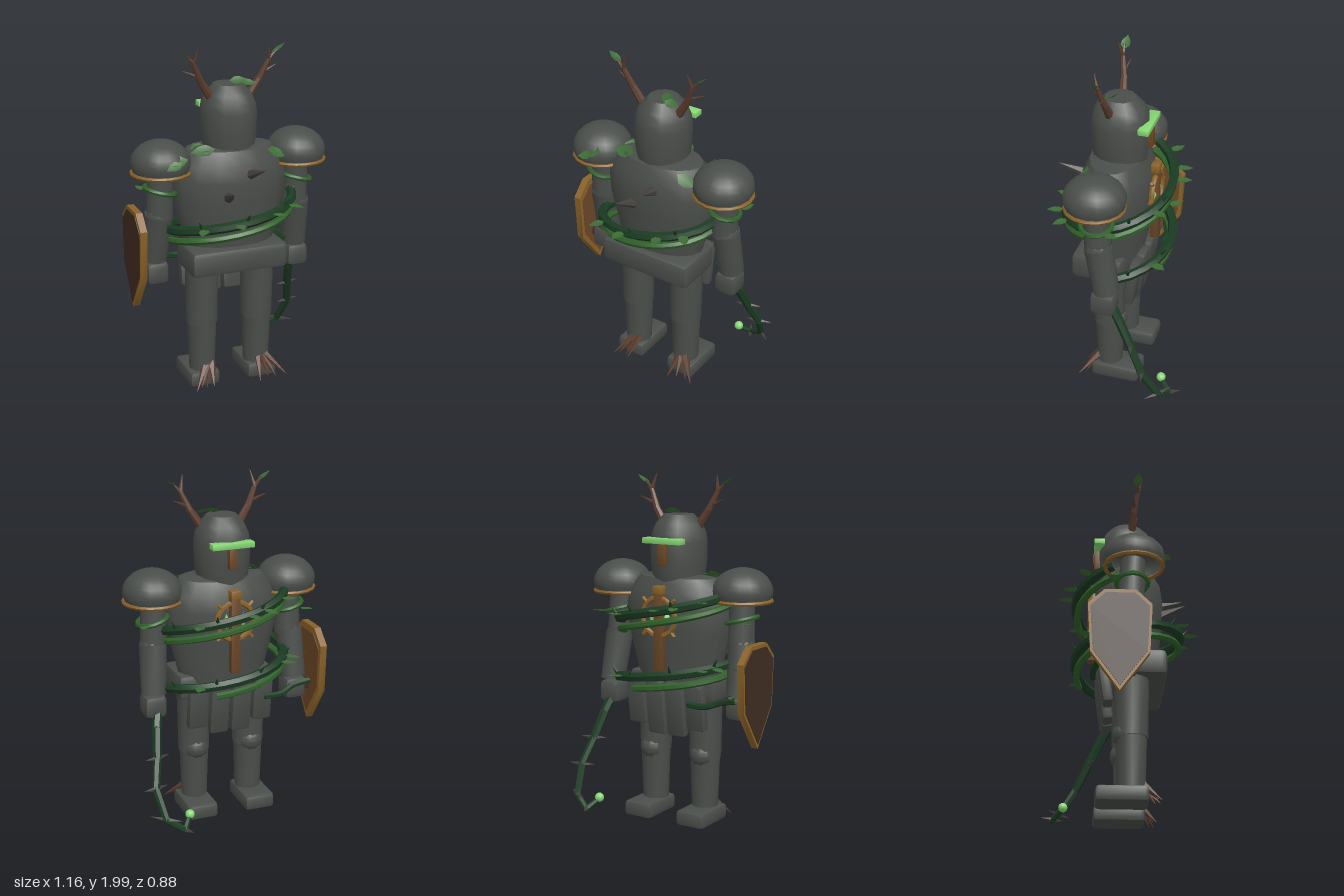
import * as THREE from 'three';
import { toCreasedNormals } from 'three/addons/utils/BufferGeometryUtils.js';
import { RoundedBoxGeometry } from 'three/addons/geometries/RoundedBoxGeometry.js';

const material = (name, color, side = THREE.FrontSide) => {
  const m = new THREE.MeshStandardMaterial({ color, side });
  m.name = name;
  return m;
};
const V = (x, y, z) => new THREE.Vector3(x, y, z);

export function createModel() {
  const armor = material('dark armour', 0x4a4e4a, THREE.DoubleSide);
  const gold = material('old gold', 0x8a6229);
  const bronze = material('bronze', 0x6b4726);
  const bark = material('bark', 0x5a3c2e);
  const wood = material('shield wood', 0x3f2c22);
  const vine = material('dark vine', 0x1b3b22);
  const shoot = material('young vine', 0x2f6029);
  const leafGreen = material('leaf', 0x3c6c34, THREE.DoubleSide);
  const glow = material('glow green', 0x86d873);
  const thorn = material('thorn', 0x47423e);

  const model = new THREE.Group();
  const add = (name, geo, mat, pos = [0, 0, 0], parent = model) => {
    const mesh = new THREE.Mesh(toCreasedNormals(geo, 0.65), mat);
    mesh.name = name;
    mesh.position.set(...pos);
    parent.add(mesh);
    return mesh;
  };
  const box = (name, size, pos, mat, bevel = 0.015) =>
    add(name, new RoundedBoxGeometry(...size, 1, bevel), mat, pos);
  // Tapered round bar from a to b
  const bar = (name, a, b, ra, rb, mat, sides = 12) => {
    const d = b.clone().sub(a);
    const mesh = add(name, new THREE.CylinderGeometry(rb, ra, d.length(), sides), mat);
    mesh.position.copy(a).addScaledVector(d, 0.5);
    mesh.quaternion.setFromUnitVectors(V(0, 1, 0), d.normalize());
    return mesh;
  };
  const lathe = (name, profile, sides, mat, pos, depth) => {
    const mesh = add(name, new THREE.LatheGeometry(profile.map(p => new THREE.Vector2(...p)), sides), mat, pos);
    mesh.scale.z = depth;
    return mesh;
  };
  const tube = (name, pts, r, mat, steps) =>
    add(name, new THREE.TubeGeometry(new THREE.CatmullRomCurve3(pts), steps, r, 6), mat);
  // Folded leaf growing from p along d, its face turned towards up
  const leafGeo = new THREE.BufferGeometry();
  leafGeo.setAttribute('position', new THREE.Float32BufferAttribute(
    [0, 0, 0, 0.28, 0.3, 0, 0.26, 0.6, 0, 0, 1, 0, -0.26, 0.6, 0, -0.28, 0.3, 0, 0, 0.45, -0.08], 3));
  leafGeo.setIndex([0, 1, 6, 1, 2, 6, 2, 3, 6, 3, 4, 6, 4, 5, 6, 5, 0, 6]);
  leafGeo.computeVertexNormals();
  const leaf = (p, d, length, up = V(0, 1, 0)) => {
    const mesh = add('leaf', leafGeo, leafGreen);
    const y = d.clone().normalize(), x = y.clone().cross(up).normalize();
    mesh.quaternion.setFromRotationMatrix(new THREE.Matrix4().makeBasis(x, y, x.clone().cross(y)));
    mesh.position.copy(p);
    mesh.scale.setScalar(length);
  };

  // Torso, collar and helmet
  lathe('torso', [[0, 0.8], [0.25, 0.8], [0.265, 0.88], [0.325, 1.12], [0.335, 1.25], [0.315, 1.34], [0.25, 1.42], [0.17, 1.435], [0, 1.435]],
    16, armor, [0, 0, 0.055], 0.6);
  lathe('helmet', [[0.145, 1.4], [0.158, 1.5], [0.16, 1.62], [0.152, 1.67], [0.13, 1.72], [0.085, 1.77], [0, 1.775]],
    12, armor, [0, 0, 0.045], 1.04);
  box('visor glow', [0.245, 0.032, 0.06], [0, 1.63, -0.117], glow, 0.002);
  box('nose guard', [0.05, 0.13, 0.04], [0, 1.56, -0.125], bronze, 0.006);

  // Waist plate and hanging tassets
  box('waist plate', [0.575, 0.15, 0.3], [0, 0.795, 0.105], armor, 0.03);
  for (const x of [-0.195, -0.065, 0.065, 0.195]) {
    const long = Math.abs(x) < 0.1;
    const tasset = box('tasset', [0.118, long ? 0.32 : 0.27, 0.06], [x, long ? 0.675 : 0.7, -0.085], armor, 0.018);
    tasset.rotation.x = -0.14;
  }

  for (const s of [-1, 1]) {
    // Legs
    const x = s * 0.17;
    bar('thigh', V(x, 0.38, 0.062), V(x, 0.76, 0.062), 0.091, 0.098, armor);
    bar('shin', V(x, 0.06, 0.06), V(x, 0.39, 0.06), 0.075, 0.086, armor);
    add('knee', new THREE.SphereGeometry(0.075, 10, 8), armor, [x, 0.4, 0.03]);
    box('foot', [0.182, 0.09, 0.285], [s * 0.178, 0.048, 0.008], armor, 0.022);
    for (let i = 0; i < 4; i++) {
      const out = s < 0 ? -0.255 + i * 0.035 : 0.14 + i * 0.055;
      bar('foot root', V(s * 0.165 + i * 0.012, 0.135, 0.11), V(out, 0.012 + (i % 2) * 0.015, 0.215 - (i % 3) * 0.015), 0.025, 0.002, bark, 5);
    }

    // Arms
    bar('upper arm', V(s * 0.405, 1.34, 0.06), V(s * 0.41, 1.04, 0.045), 0.07, 0.076, armor);
    add('elbow', new THREE.SphereGeometry(0.078, 10, 8), armor, [s * 0.415, 1.05, 0.045]);
    bar('forearm', V(s * 0.415, 1.06, 0.045), V(s * 0.43, 0.78, -0.005), 0.08, 0.073, armor);
    box('hand', [0.13, 0.13, 0.14], [s * 0.43, 0.712, 0.008], armor, 0.028);

    // Shoulder dome with gold rim
    const dome = add('shoulder dome', new THREE.SphereGeometry(0.168, 16, 10, 0, Math.PI * 2, 0, Math.PI * 0.62), armor, [s * 0.405, 1.36, 0.065]);
    dome.scale.set(1, 0.78, 1.04);
    add('shoulder rim', new THREE.TorusGeometry(0.162, 0.012, 6, 16), gold, [s * 0.405, 1.308, 0.065]).rotation.x = Math.PI / 2;

    // Thin vine round each arm
    const ring = add('arm vine', new THREE.TorusGeometry(0.088, 0.014, 6, 14), shoot, [s * 0.41, 1.2, 0.055]);
    ring.rotation.set(Math.PI / 2, -0.25, 0);
    leaf(V(s * 0.47, 1.19, -0.01), V(s * 0.5, 0.1, -1), 0.09);

    // Branching antlers
    const fork = V(s * 0.22, 1.9, 0.1);
    bar('antler', V(s * 0.11, 1.7, 0.07), V(s * 0.175, 1.8, 0.08), 0.026, 0.02, bark, 7);
    bar('antler', V(s * 0.17, 1.79, 0.08), fork, 0.02, 0.014, bark, 7);
    bar('antler tine', fork, V(s * 0.2, 1.99, 0.125), 0.013, 0.002, bark, 5);
    bar('antler tine', fork, V(s * 0.265, 1.95, 0.105), 0.012, 0.005, bark, 5);
    bar('antler tine', V(s * 0.185, 1.82, 0.085), V(s * 0.275, 1.86, 0.07), 0.012, 0.002, bark, 5);
    leaf(V(s * 0.235, 1.93, 0.1), V(s * 0.075, 0.05, 0), 0.095, V(-s * 0.5, 0.75, 0));
  }

  // Vines winding up round the body
  const coil = (a, r, lift) =>
    V(Math.cos(a) * 0.37 * r, 0.8 + a * 0.0535 + Math.max(0, a - 6.3) * 0.018 + lift, 0.05 - Math.sin(a) * 0.3 * r);
  const coilPoints = (from, to, r, lift) =>
    Array.from({ length: 33 }, (_, i) => coil(from + (to - from) * i / 32, r, lift));
  tube('body vine', coilPoints(0, Math.PI * 2.9, 1, 0), 0.028, vine, 36);
  tube('young body vine', coilPoints(1.2, Math.PI * 2.95, 0.97, -0.065), 0.02, shoot, 36);
  for (const a of [0.98, 2.37, 2.6, 4.08, 4.57, 5.13, 5.5, 7.26, 7.99, 8.25, 8.65])
    leaf(coil(a, 1.03, 0.01), V(Math.cos(a), 0.1 * Math.sin(a * 9), -Math.sin(a)), 0.1);
  for (let i = 0; i < 12; i++) {
    const a = 0.5 + i * 0.7, p = coil(a, 1.02, 0.015);
    bar('vine thorn', p, p.clone().add(V(Math.cos(a) * 0.035, 0.045, -Math.sin(a) * 0.035)), 0.012, 0.001, vine, 5);
  }

  // Loose vine end between waist and shield
  tube('loose vine', [V(-0.18, 0.73, -0.15), V(-0.29, 0.73, -0.15), V(-0.38, 0.76, -0.12), V(-0.48, 0.78, -0.13)], 0.018, vine, 8);

  // Leaves resting on the armour
  for (const [x, y, z, dx, dy, dz, l] of [
    [-0.3, 1.41, 0.225, -1, -0.1, 0, 0.13], [-0.34, 1.4, 0.245, -0.6, -0.2, 0.1, 0.1],
    [-0.12, 1.435, 0.16, -1, -0.1, -0.1, 0.14], [-0.24, 1.425, 0.08, 1, 0, -0.2, 0.12],
    [0.18, 1.41, 0.18, 1, -0.4, 0, 0.13], [0, 1.785, 0.06, 1, 0.1, 0.3, 0.1], [0.05, 1.785, 0.11, 1, -0.1, 0, 0.09]
  ]) leaf(V(x, y, z), V(dx, dy, dz), l, V(0, 1, 0.7));

  // Spikes on the rounded side of the torso
  for (const [x, y, z, tx, ty, tz] of [
    [0.06, 1.29, 0.23, 0.09, 1.345, 0.375], [-0.07, 1.17, 0.23, -0.095, 1.23, 0.38]
  ]) bar('torso spike', V(x, y, z), V(tx, ty, tz), 0.032, 0.001, thorn, 6);

  // Wheel emblem on its post
  box('emblem post', [0.055, 0.47, 0.045], [0, 1.14, -0.158], bronze, 0.006);
  box('emblem cap', [0.06, 0.05, 0.05], [0, 1.36, -0.16], gold, 0.006);
  add('emblem wheel', new THREE.TorusGeometry(0.108, 0.015, 6, 16), gold, [0, 1.21, -0.165]);
  for (let i = 0; i < 8; i++) {
    const a = i * Math.PI / 4, c = Math.cos(a), d = Math.sin(a);
    bar('wheel spoke', V(c * 0.1, 1.21 + d * 0.1, -0.165), V(c * 0.148, 1.21 + d * 0.148, -0.165), 0.012, 0.01, gold, 6);
  }
  for (const s of [-1, 1]) {
    const gem = add('emblem gem', new THREE.OctahedronGeometry(0.03), glow, [s * 0.05, 1.21, -0.16]);
    gem.scale.set(0.7, 1.5, 0.6);
  }

  // Shield carried on the side
  const outline = [[-0.19, 1.0], [-0.1, 1.085], [0.07, 1.085], [0.155, 1.0], [0.14, 0.72], [-0.02, 0.5], [-0.175, 0.72]];
  const shield = new THREE.Group();
  shield.name = 'shield';
  shield.rotation.y = Math.PI / 2;
  shield.position.x = -0.557;
  model.add(shield);
  const shieldLayer = (name, k, depth, offset, mat) => {
    const shape = new THREE.Shape(outline.map(([z, y]) => new THREE.Vector2(0.02 - (z + 0.02) * k, 0.82 + (y - 0.82) * k)));
    add(name, new THREE.ExtrudeGeometry(shape, { depth, bevelEnabled: false }), mat, [0, 0, offset], shield);
  };
  shieldLayer('shield rim', 1, 0.04, 0, gold);
  shieldLayer('shield face', 0.92, 0.006, -0.004, wood);
  shieldLayer('shield back', 0.86, 0.006, 0.037, bronze);
  box('shield grip', [0.05, 0.05, 0.1], [-0.5, 0.72, 0], wood, 0.008);
  leaf(V(-0.5, 0.95, -0.12), V(0.3, 0.2, -0.4), 0.07);
  leaf(V(-0.49, 0.78, -0.13), V(0.7, 0.2, 0.1), 0.07);

  // Thorned whip with glowing tip
  const whipPath = [V(0.41, 0.72, -0.01), V(0.44, 0.6, -0.08), V(0.465, 0.45, -0.155), V(0.5, 0.3, -0.23),
    V(0.47, 0.145, -0.32), V(0.375, 0.085, -0.36), V(0.33, 0.135, -0.305)];
  for (let i = 0; i < 6; i++) {
    const r = 0.03 - i * 0.0025;
    bar('whip', whipPath[i], whipPath[i + 1], r, r - 0.0025, vine, 6);
    add('whip joint', new THREE.SphereGeometry(r - 0.0025, 6, 4), vine, whipPath[i + 1].toArray());
  }
  add('whip tip', new THREE.SphereGeometry(0.027, 10, 8), glow, [0.325, 0.145, -0.3]);
  for (let i = 2; i < 6; i++) for (const s of [-1, 1]) {
    const p = whipPath[i];
    bar('whip thorn', p, p.clone().add(V(s * (i === 5 ? 0.03 : 0.075), 0.005, i > 3 ? 0.06 * s : -0.02 * s)), 0.016, 0.001, thorn, 5);
  }
  return model;
}
